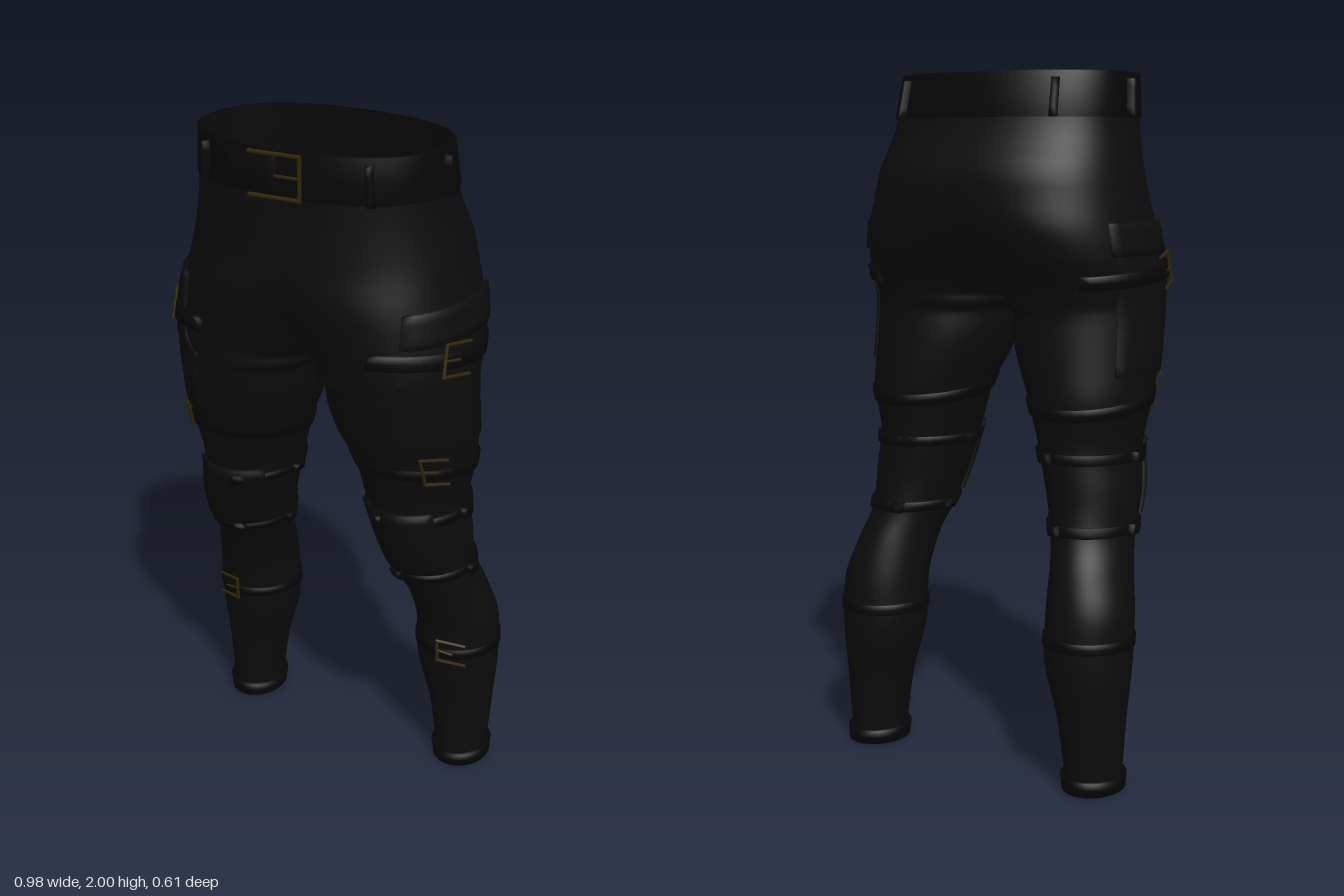
import * as THREE from 'three';

const mat = (name, color) => new THREE.MeshStandardMaterial({ name, color, side: THREE.DoubleSide });

// Half-trouser profile: height, outer x, inner x, front z, back z, leg blend (0 = pelvis, 1 = closed leg)
const ROWS = [
  [0, .455, .31, -.07, -.25, 1],
  [.2, .47, .28, -.055, -.265, 1],
  [.4, .483, .235, -.022, -.287, 1],
  [.5, .482, .235, -.015, -.28, 1],
  [.63, .452, .228, .03, -.243, 1],
  [.73, .43, .2, .085, -.2, 1],
  [.83, .432, .172, .125, -.188, 1],
  [.95, .42, .142, .155, -.188, 1],
  [1.1, .445, .1, .19, -.205, 1],
  [1.2, .45, .053, .23, -.2, 1],
  [1.27, .45, .033, .245, -.195, 1],
  [1.33, .45, .028, .255, -.19, 1],
  [1.355, .45, 0, .26, -.195, 1],
  [1.4, .45, 0, .265, -.205, .55],
  [1.5, .44, 0, .275, -.265, .26],
  [1.6, .42, 0, .288, -.3, .1],
  [1.7, .4, 0, .285, -.302, .02],
  [1.85, .368, 0, .28, -.235, 0],
  [2, .355, 0, .277, -.195, 0],
];

// Smooth interpolation of one profile column
function col(c, y) {
  let i = 0;
  while (i < ROWS.length - 2 && y > ROWS[i + 1][0]) i++;
  const at = k => ROWS[Math.min(Math.max(k, 0), ROWS.length - 1)];
  const [p, a, b, q] = [at(i - 1), at(i), at(i + 1), at(i + 2)];
  const h = b[0] - a[0], u = (y - a[0]) / h;
  const slope = (m, n) => (n[c] - m[c]) / (n[0] - m[0]);
  const limit = (s1, s2) => (s1 * s2 <= 0 ? 0 : 2 * s1 * s2 / (s1 + s2));
  const s = slope(a, b);
  const ma = i > 0 ? limit(slope(p, a), s) : s;
  const mb = i < ROWS.length - 2 ? limit(s, slope(b, q)) : s;
  const u2 = u * u, u3 = u2 * u;
  return (2 * u3 - 3 * u2 + 1) * a[c] + (u3 - 2 * u2 + u) * h * ma + (3 * u2 - 2 * u3) * b[c] + (u3 - u2) * h * mb;
}

const pw = v => Math.sign(v) * Math.abs(v) ** .86;

// Cross-section at one height: t runs from the front seam round the outside to the back seam
function section(y) {
  const [out, inn, zf, zb, b] = [1, 2, 3, 4, 5].map(c => col(c, y));
  const zc = (zf + zb) / 2, hz = (zf - zb) / 2, cx = (out + inn) / 2, rx = (out - inn) / 2;
  const zAt = t => (1 - b) * pw(Math.cos(Math.PI * t)) + b * Math.sin(2 * Math.PI * t);
  let top = 0;
  for (let k = 0; k <= 24; k++) top = Math.max(top, zAt(k / 48));
  return t => new THREE.Vector3(
    (1 - b) * out * pw(Math.sin(Math.PI * t)) + b * (cx - rx * Math.cos(2 * Math.PI * t)),
    y, zc + hz * zAt(t) / top);
}

// Point on the cloth, pushed outwards by d
function onCloth(t, y, d, s) {
  const sec = section(y), p = sec(t);
  if (d) {
    const e = .004, y0 = Math.max(y - e, 0), y1 = Math.min(y + e, 2);
    const dt = sec(t + e).sub(sec(t - e));
    const dy = section(y1)(t).sub(section(y0)(t));
    const n = dt.cross(dy).normalize();
    p.x += n.x * d;
    p.z += n.z * d;
  }
  p.x *= s;
  return p;
}

// Grid geometry from a point rule
function grid(nu, nv, rule, s) {
  const pos = [], idx = [];
  for (let j = 0; j <= nv; j++) for (let i = 0; i <= nu; i++) pos.push(...rule(i, j).toArray());
  for (let j = 0; j < nv; j++) for (let i = 0; i < nu; i++) {
    const a = j * (nu + 1) + i, b = a + 1, c = a + nu + 1, d = c + 1;
    if (s > 0) idx.push(a, b, d, a, d, c);
    else idx.push(a, d, b, a, c, d);
  }
  const g = new THREE.BufferGeometry();
  g.setAttribute('position', new THREE.Float32BufferAttribute(pos, 3));
  g.setIndex(idx);
  g.computeVertexNormals();
  return g;
}

// Raised panel or strap lying on the cloth; its border drops back into the cloth
function panel(t0, t1, y0, y1, d, s, { nu = 12, nv = 2, tilt = 0, ring = false } = {}) {
  const U = ring ? nu : nu + 2, V = nv + 2;
  return grid(U, V, (i, j) => {
    const u = ring ? i / nu : THREE.MathUtils.clamp((i - 1) / nu, 0, 1);
    const v = THREE.MathUtils.clamp((j - 1) / nv, 0, 1);
    const edge = j === 0 || j === V || (!ring && (i === 0 || i === U));
    const t = t0 + (t1 - t0) * u;
    const y = y0 + (y1 - y0) * v + tilt * Math.sin(2 * Math.PI * t);
    return onCloth(t, y, edge ? -.003 : d, s);
  }, s);
}

function bar(a, b, r, material) {
  const m = new THREE.Mesh(new THREE.CylinderGeometry(r, r, a.distanceTo(b) + r, 6), material);
  m.position.copy(a).add(b).multiplyScalar(.5);
  m.quaternion.setFromUnitVectors(new THREE.Vector3(0, 1, 0), b.clone().sub(a).normalize());
  m.name = 'buckleBar';
  return m;
}

// Three-sided frame with a prong; at(u, v) maps the frame square to space
function buckle(at, r, material) {
  const g = new THREE.Group();
  g.name = 'buckle';
  const pts = [at(0, 1), at(1, 1), at(1, 0), at(0, 0)];
  for (let i = 0; i < 3; i++) g.add(bar(pts[i], pts[i + 1], r, material));
  g.add(bar(at(.45, .5), at(1, .5), r * .8, material));
  return g;
}

export function createModel() {
  const model = new THREE.Group();
  model.name = 'trousers';
  const cloth = mat('blackCloth', 0x0c0c0c);
  const leather = mat('blackLeather', 0x060606);
  const brass = mat('darkBrass', 0x33270a);

  for (const s of [1, -1]) {
    const half = new THREE.Group();
    half.name = s > 0 ? 'leftHalf' : 'rightHalf';
    model.add(half);
    const add = (name, geo, material) => {
      const m = new THREE.Mesh(geo, material);
      m.name = name;
      half.add(m);
    };

    // Leg and hip: dense rows near the crotch, where the seam closes
    const ys = [];
    for (let k = 0; k < 46; k++) ys.push(1.3 * k / 46);
    for (let k = 0; k < 20; k++) ys.push(1.3 + .2 * k / 20);
    for (let k = 0; k <= 16; k++) ys.push(1.5 + .5 * k / 16);
    const secs = ys.map(section);
    add('legAndHip', grid(48, ys.length - 1, (i, j) => {
      const p = secs[j](i / 48);
      p.x *= s;
      return p;
    }, s), cloth);

    // Waist belt and its loops
    add('belt', panel(0, 1, 1.875, 1.998, .006, s, { nu: 40, ring: true }), leather);
    for (const t of [.22, .5, .78])
      add('beltLoop', panel(t - .012, t + .012, 1.875, 1.98, .026, s, { nu: 2, nv: 4 }), leather);

    // Thigh pocket with flap
    add('thighPocket', panel(.3, .6, 1.17, 1.55, .008, s, { nv: 10 }), cloth);
    add('pocketFlap', panel(.29, .61, 1.5, 1.59, .014, s, { nv: 4 }), cloth);

    // Knee pad
    add('kneePad', panel(.12, .38, .76, .97, .014, s, { nv: 8 }), cloth);

    // Straps round the leg
    add('lowerThighStrap', panel(0, 1, 1.07, 1.105, .007, s, { nu: 36, ring: true, tilt: .025 }), leather);
    add('pocketStrap', panel(.22, .7, 1.425, 1.465, .016, s, { nu: 20, tilt: .02 }), leather);
    add('calfStrap', panel(0, 1, .42, .45, .005, s, { nu: 36, ring: true }), leather);
    for (const y of [.925, .725]) {
      add('kneeStrap', panel(0, 1, y, y + .028, .01, s, { nu: 36, ring: true }), leather);
      for (const t of [0, .2, .5, .8])
        add('kneeStrapTab', panel(t - .022, t + .022, y, y + .028, .024, s, { nu: 3 }), leather);
    }

    // Ankle cuff
    add('ankleCuff', panel(0, 1, .004, .045, .013, s, { nu: 36, ring: true }), leather);

    // Strap buckles
    for (const [t, y, w, h, d] of [[.435, 1.455, .07, .085, .021], [.385, 1.12, .06, .085, .013], [.3, .44, .1, .07, .01]])
      half.add(buckle((u, v) => onCloth(t + (.5 - u) * w, y + (v - .5) * h + (u - .5) * .012, d, s), .005, brass));
  }

  // Belt tongue and front buckle
  const tongue = new THREE.Mesh(panel(0, .12, 1.885, 1.985, .02, -1), leather);
  tongue.name = 'beltTongue';
  model.add(tongue);
  model.add(buckle((u, v) => new THREE.Vector3(-.075 + .147 * u, 1.875 + .115 * v, .297 - .008 * u), .006, brass));
  return model;
}
